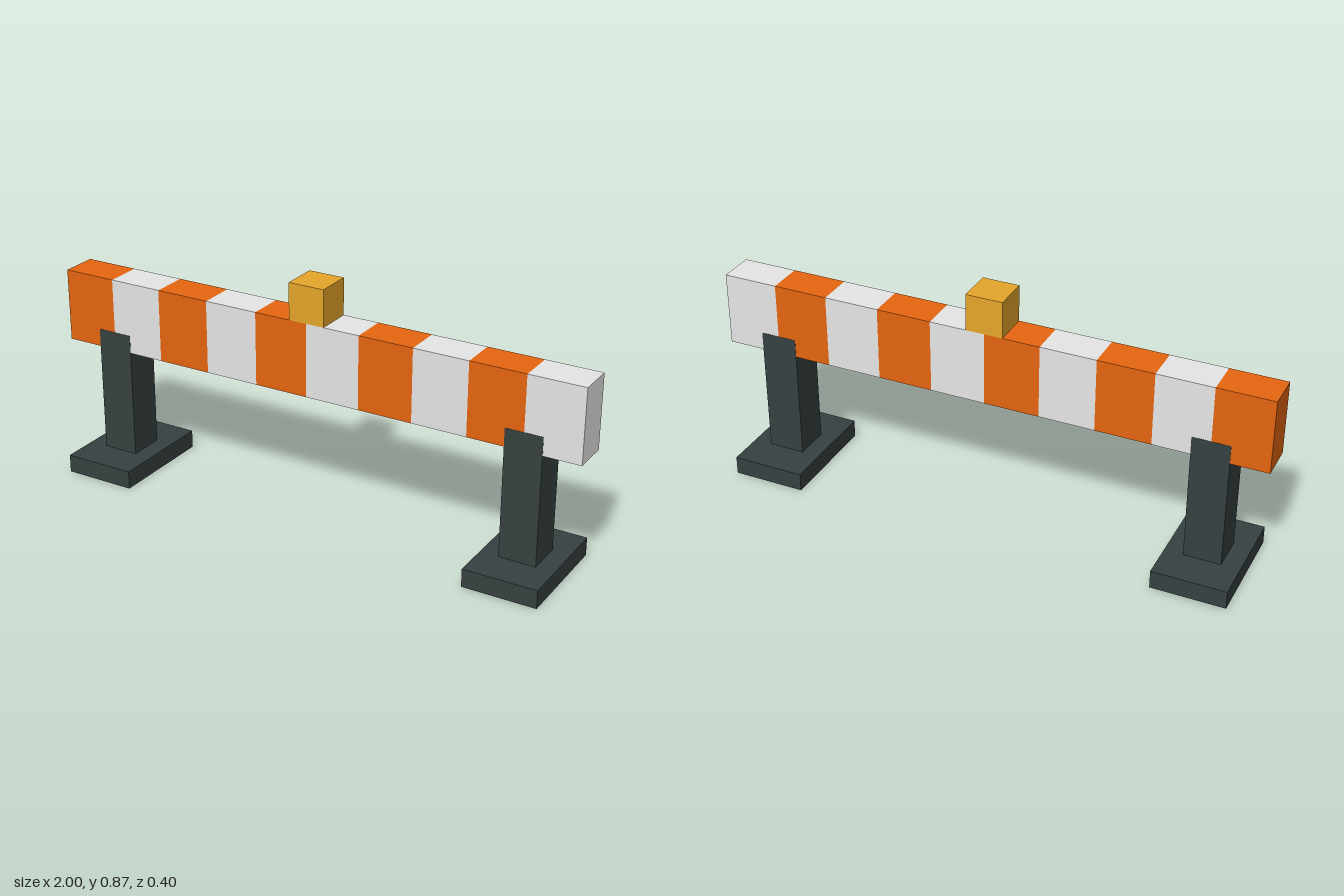
import * as THREE from 'three';

export function createModel() {
  const model = new THREE.Group();
  model.name = 'roadBarrier';

  const material = (name, color) => {
    const m = new THREE.MeshStandardMaterial({ color });
    m.name = name;
    return m;
  };
  const orange = material('orange', 0xee6911);
  const white = material('white', 0xebebeb);
  const amber = material('amber', 0xeaa82b);
  const darkGrey = material('darkGrey', 0x374141);

  // Box placed by its bottom centre
  const addBox = (name, mat, [w, h, d], x, bottom) => {
    const mesh = new THREE.Mesh(new THREE.BoxGeometry(w, h, d), mat);
    mesh.name = name;
    mesh.position.set(x, bottom + h / 2, 0);
    model.add(mesh);
  };

  const unit = 2 / 15; // shared module: beam depth, post width, lamp size

  // Striped beam, orange first from the right end
  for (let i = 0; i < 10; i++) {
    addBox('beamStripe', i % 2 ? white : orange, [0.2, 2 * unit, unit], -0.9 + 0.2 * i, 3.5 * unit);
  }

  // Feet and posts; posts stand a hair proud of the beam faces
  for (const [side, x] of [['left', 0.8], ['right', -0.8]]) {
    addBox(side + 'Foot', darkGrey, [2 * unit, unit / 2, 3 * unit], x, 0);
    addBox(side + 'Post', darkGrey, [unit, 3.5 * unit, unit + 0.002], x, unit / 2);
  }

  // Warning lamp on top
  addBox('lamp', amber, [unit, unit, unit], 0, 5.5 * unit);

  return model;
}
